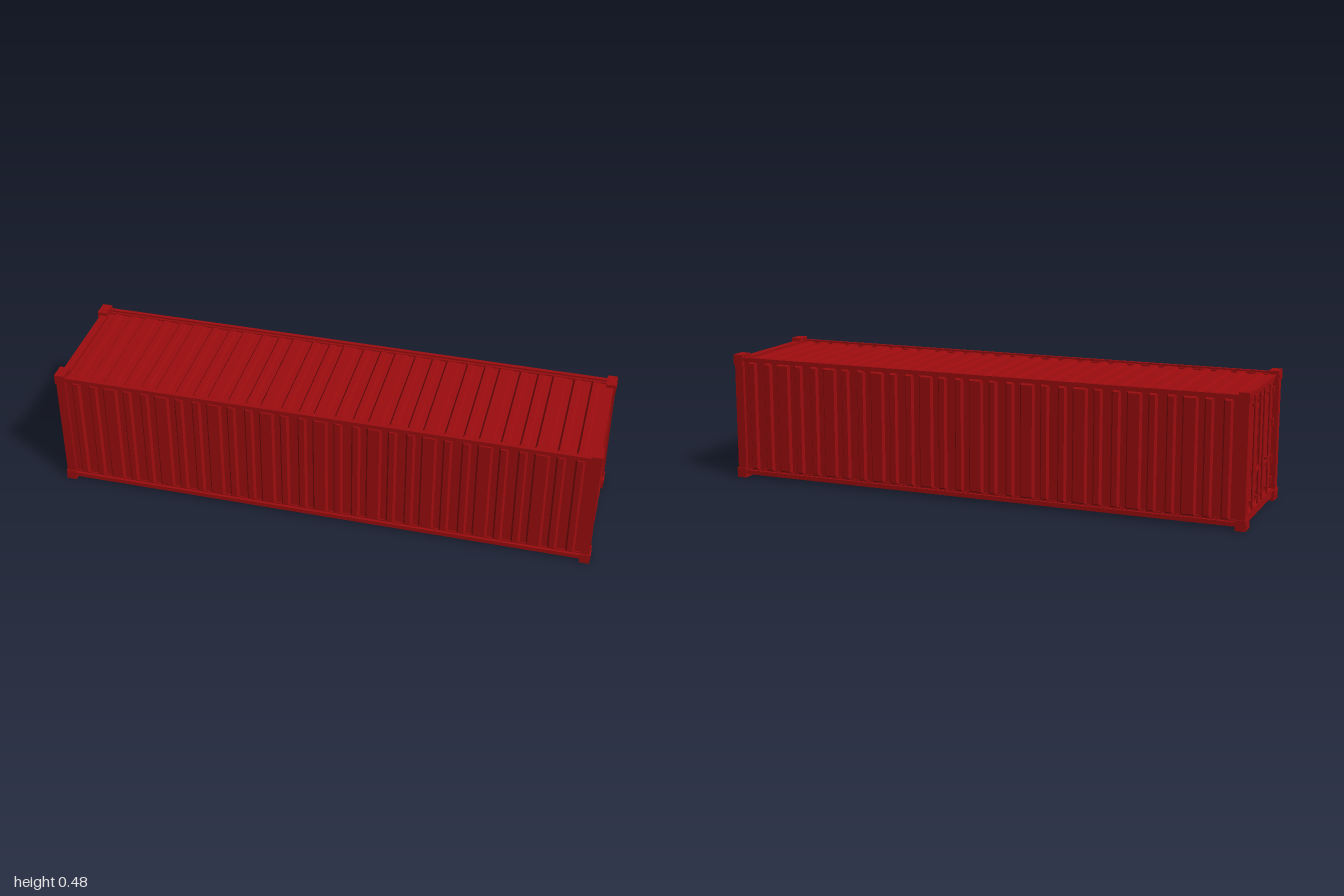
import * as THREE from 'three';
import { mergeGeometries } from 'three/addons/utils/BufferGeometryUtils.js';

const mat = (name, color) => {
  const m = new THREE.MeshStandardMaterial({ color });
  m.name = name;
  return m;
};

export function createModel() {
  const red = mat('containerRed', 0x9c0c0e);
  const dark = mat('sealBlack', 0x1c0506);
  const yellow = mat('signYellow', 0xd2b22e);
  const model = new THREE.Group();
  model.name = 'shippingContainer';

  const add = (parent, name, geo, m = red) => {
    const mesh = new THREE.Mesh(geo, m);
    mesh.name = name;
    parent.add(mesh);
    return mesh;
  };
  const box = (w, h, d, x = 0, y = 0, z = 0) => new THREE.BoxGeometry(w, h, d).translate(x, y, z);
  const rod = (r, h, x, y, z, n = 12) => new THREE.CylinderGeometry(r, r, h, n).translate(x, y, z);

  // Pressed rib: a box whose outer face is narrowed to give sloping sides
  const rib = (w, h, depth, x) => {
    const g = box(w, h, depth, 0, 0, depth / 2).toNonIndexed();
    const p = g.attributes.position;
    for (let i = 0; i < p.count; i++) {
      if (p.getZ(i) > depth / 2) {
        p.setX(i, p.getX(i) - Math.sign(p.getX(i)) * 0.007);
        p.setY(i, p.getY(i) - Math.sign(p.getY(i)) * 0.009);
      }
    }
    g.computeVertexNormals();
    return g.translate(x, 0, 0);
  };

  // Ribbed panel facing +z; every third rib is wide
  const ribbedPanel = (height, ribHeight, depth) => {
    const parts = [box(1.95, height, 0.008, 0, 0, -0.004).toNonIndexed()];
    for (let i = -14; i <= 14; i++) {
      parts.push(rib(i % 3 === 0 ? 0.056 : 0.034, ribHeight, depth, i * 0.066));
    }
    return mergeGeometries(parts);
  };

  // Side walls, roof and floor
  const wall = ribbedPanel(0.44, 0.425, 0.01);
  add(model, 'frontWall', wall).position.set(0, 0.243, 0.231);
  const back = add(model, 'backWall', wall);
  back.position.set(0, 0.243, -0.231);
  back.rotation.y = Math.PI;
  const deck = ribbedPanel(0.47, 0.445, 0.01);
  const roof = add(model, 'roof', deck);
  roof.position.y = 0.457;
  roof.rotation.x = -Math.PI / 2;
  const floor = add(model, 'floor', deck);
  floor.position.y = 0.027;
  floor.rotation.x = Math.PI / 2;

  // Long rails along the four edges
  for (const s of [-1, 1]) {
    add(model, 'topSideRail', box(1.94, 0.016, 0.014, 0, 0.462, s * 0.238));
    add(model, 'bottomSideRail', box(1.94, 0.016, 0.014, 0, 0.022, s * 0.238));
  }

  // Corner castings with a round recess drawn on the end face
  for (const x of [-1, 1]) for (const y of [0.019, 0.461]) for (const z of [-1, 1]) {
    const corner = new THREE.Group();
    corner.name = 'cornerCasting';
    add(corner, 'castingBlock', box(0.037, 0.038, 0.06, x * 0.9805, y, z * 0.219));
    const ring = add(corner, 'castingHole', new THREE.CylinderGeometry(0.0145, 0.0145, 0.001, 24));
    ring.rotation.z = Math.PI / 2;
    ring.position.set(x * 0.9995, y, z * 0.219);
    model.add(corner);
  }

  // Warning sign: tall, rounded triangle
  const signShape = new THREE.Shape();
  signShape.moveTo(-0.023, -0.03);
  signShape.lineTo(0.023, -0.03);
  signShape.lineTo(0.022, -0.014);
  signShape.lineTo(0.005, 0.029);
  signShape.lineTo(-0.005, 0.029);
  signShape.lineTo(-0.022, -0.014);
  const signGeo = new THREE.ExtrudeGeometry(signShape, { depth: 0.002, bevelEnabled: false });
  signGeo.rotateY(Math.PI / 2);

  // One door end, facing +x; signs are [y, z, scale]
  const doorEnd = (name, signs) => {
    const g = new THREE.Group();
    g.name = name;
    add(g, 'topHeader', box(0.025, 0.022, 0.39, 0.973, 0.456, 0));
    add(g, 'headerLip', box(0.006, 0.006, 0.38, 0.987, 0.464, 0));
    add(g, 'bottomSill', box(0.03, 0.03, 0.39, 0.975, 0.03, 0));
    add(g, 'doorSeal', box(0.004, 0.406, 0.42, 0.967, 0.245, 0), dark);

    for (const s of [-1, 1]) {
      add(g, 'cornerPost', box(0.034, 0.41, 0.034, 0.979, 0.24, s * 0.2275));
      add(g, 'doorPanel', box(0.012, 0.389, 0.179, 0.971, 0.245, s * 0.1125));
      // Hinges
      for (const y of [0.075, 0.155, 0.29, 0.408]) {
        add(g, 'hinge', box(0.008, 0.026, 0.022, 0.979, y, s * 0.203));
      }
      // Locking rods with guides and cam ends
      for (const z of [0.029, 0.113]) {
        add(g, 'lockRod', rod(0.0048, 0.43, 0.988, 0.234, s * z));
        for (const y of [0.03, 0.07, 0.415, 0.444]) {
          add(g, 'rodGuide', box(0.014, 0.012, 0.018, 0.983, y, s * z));
        }
      }
      // Handle bar with flared bracket and catch
      add(g, 'handleBar', box(0.007, 0.008, 0.075, 0.987, 0.173, s * 0.07));
      const flare = new THREE.CylinderGeometry(0.006, 0.018, 0.024, 4);
      flare.rotateX(s * Math.PI / 2).scale(0.4, 1, 1);
      add(g, 'handleBracket', flare).position.set(0.984, 0.173, s * 0.046);
      add(g, 'handleCatch', box(0.014, 0.03, 0.009, 0.985, 0.173, s * 0.087));
      add(g, 'handleGuide', box(0.014, 0.022, 0.016, 0.985, 0.173, s * 0.101));
    }

    // Ribbed gasket where the doors meet
    add(g, 'gasket', box(0.01, 0.386, 0.046, 0.973, 0.245, 0));
    for (let i = -2; i <= 2; i++) {
      add(g, 'gasketRib', rod(0.0035, 0.375, 0.979, 0.252, i * 0.0085, 8));
    }

    for (const [y, z, k] of signs) {
      const sign = add(g, 'warningSign', signGeo, yellow);
      sign.position.set(0.978, y, z);
      sign.scale.set(1, k, k);
    }
    return g;
  };

  model.add(doorEnd('rightDoors', [[0.253, -0.073, 1]]));
  const left = doorEnd('leftDoors', [[0.36, -0.073, 0.6], [0.36, 0.073, 0.6]]);
  left.rotation.y = Math.PI;
  model.add(left);
  return model;
}
